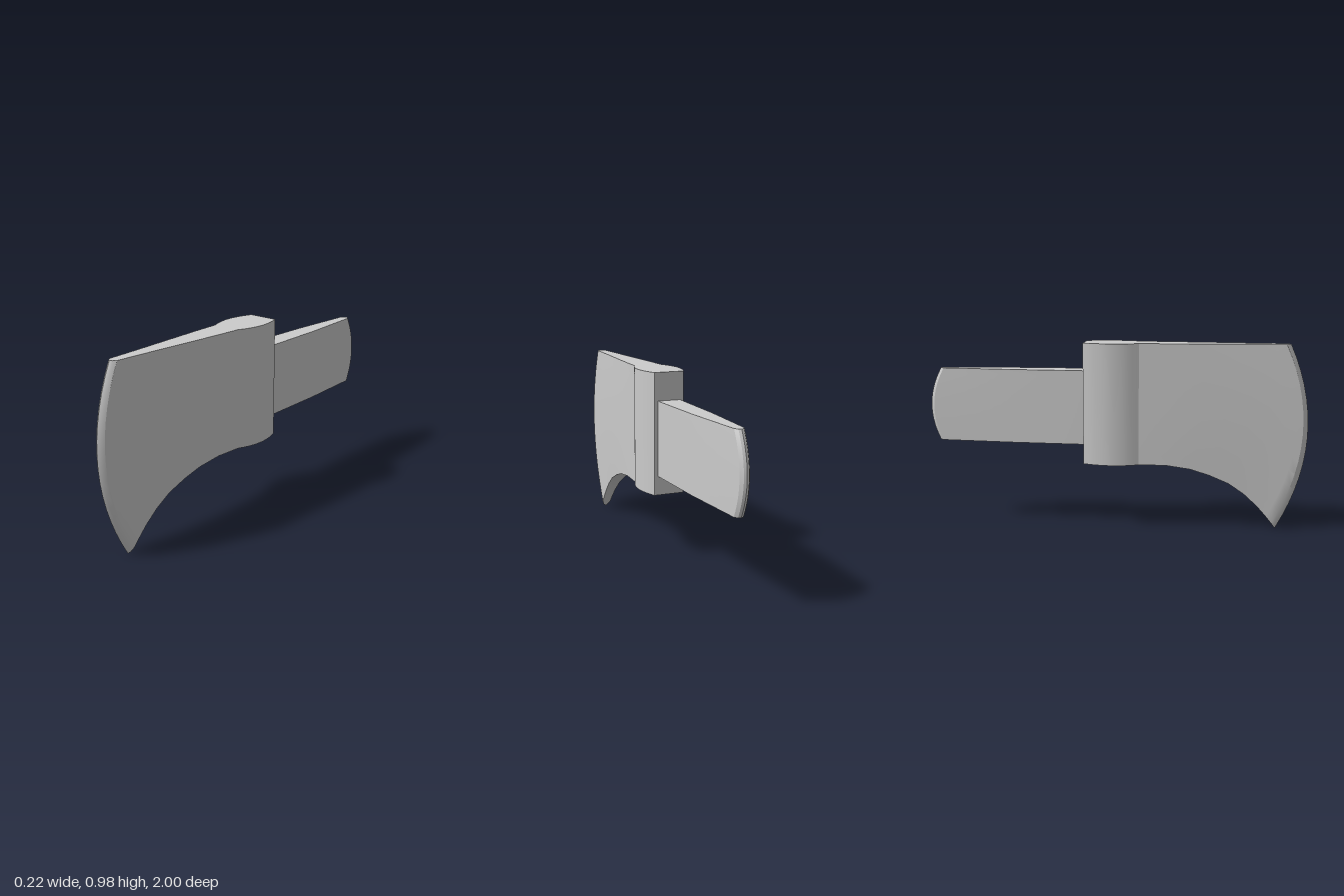
import * as THREE from 'three';
import { toCreasedNormals } from 'three/addons/utils/BufferGeometryUtils.js';

const material = new THREE.MeshStandardMaterial({ color: 0xcccccc });
const ROWS = 14;

// Tapered slab lofted along z. Each column runs from bottom to top, bowed along z:
// [bottomZ, bottomY, topZ, topY, bow, halfThickness], ordered by growing z.
function taperedSlab(columns) {
  const positions = [];
  const point = (i, j, side) => {
    const [bz, by, tz, ty, bow, half] = columns[i];
    const v = j / ROWS;
    return [side * half, by + (ty - by) * v, bz + (tz - bz) * v + bow * 4 * v * (1 - v)];
  };
  const quad = (a, b, c, d) => positions.push(...a, ...b, ...c, ...a, ...c, ...d);

  for (let i = 0; i < columns.length - 1; i++) {
    const k = i + 1;
    for (let j = 0; j < ROWS; j++) {
      quad(point(i, j, 1), point(i, j + 1, 1), point(k, j + 1, 1), point(k, j, 1));
      quad(point(k, j, -1), point(k, j + 1, -1), point(i, j + 1, -1), point(i, j, -1));
    }
    quad(point(i, ROWS, -1), point(k, ROWS, -1), point(k, ROWS, 1), point(i, ROWS, 1));
    quad(point(i, 0, 1), point(k, 0, 1), point(k, 0, -1), point(i, 0, -1));
  }
  const geometry = new THREE.BufferGeometry();
  geometry.setAttribute('position', new THREE.Float32BufferAttribute(positions, 3));
  return toCreasedNormals(geometry, 0.45);
}

function createBlade() {
  const top = 0.975;
  // lower edge of the beard: z, y, half thickness
  const beard = [
    [0.13, 0.34, 0.075], [0.27, 0.34, 0.067], [0.4, 0.32, 0.057], [0.5, 0.288, 0.049],
    [0.6, 0.245, 0.041], [0.68, 0.19, 0.035], [0.75, 0.125, 0.03], [0.8, 0.068, 0.027],
    [0.828, 0.033, 0.025], [0.842, 0.012, 0.014], [0.85, 0, 0],
  ];
  return taperedSlab(beard.map(([z, y, half]) => {
    const u = (z - 0.13) / 0.72;
    return [z, y, 0.13 + 0.77 * u, top, 0.125 * u, half];
  }));
}

function createPoll() {
  const low = 0.44, high = 0.83;
  return taperedSlab([
    [-0.955, low, -0.94, high, -0.052, 0],
    [-0.95, low, -0.935, high, -0.052, 0.013],
    [-0.933, low, -0.918, high, -0.052, 0.025],
    [-0.55, low, -0.55, high, 0, 0.05],
    [-0.15, low, -0.15, high, 0, 0.061],
  ]);
}

// Eye block with bulging cheeks, drawn in plan and extruded upwards
function createEye() {
  const cheek = new THREE.SplineCurve([
    [0.08, 0.16], [0.1, 0.1], [0.111, 0.02], [0.101, -0.06], [0.075, -0.13],
  ].map(([x, y]) => new THREE.Vector2(x, y))).getPoints(16);
  const mirrored = cheek.map((p) => new THREE.Vector2(-p.x, p.y)).reverse();
  const geometry = new THREE.ExtrudeGeometry(new THREE.Shape([...cheek, ...mirrored]), {
    depth: 0.635, bevelEnabled: false,
  });
  geometry.rotateX(-Math.PI / 2).translate(0, 0.34, 0);
  return toCreasedNormals(geometry, 0.5);
}

export function createModel() {
  const axeHead = new THREE.Group();
  axeHead.name = 'axeHead';
  const parts = { blade: createBlade(), eye: createEye(), poll: createPoll() };
  for (const [name, geometry] of Object.entries(parts)) {
    const mesh = new THREE.Mesh(geometry, material);
    mesh.name = name;
    axeHead.add(mesh);
  }
  return axeHead;
}
